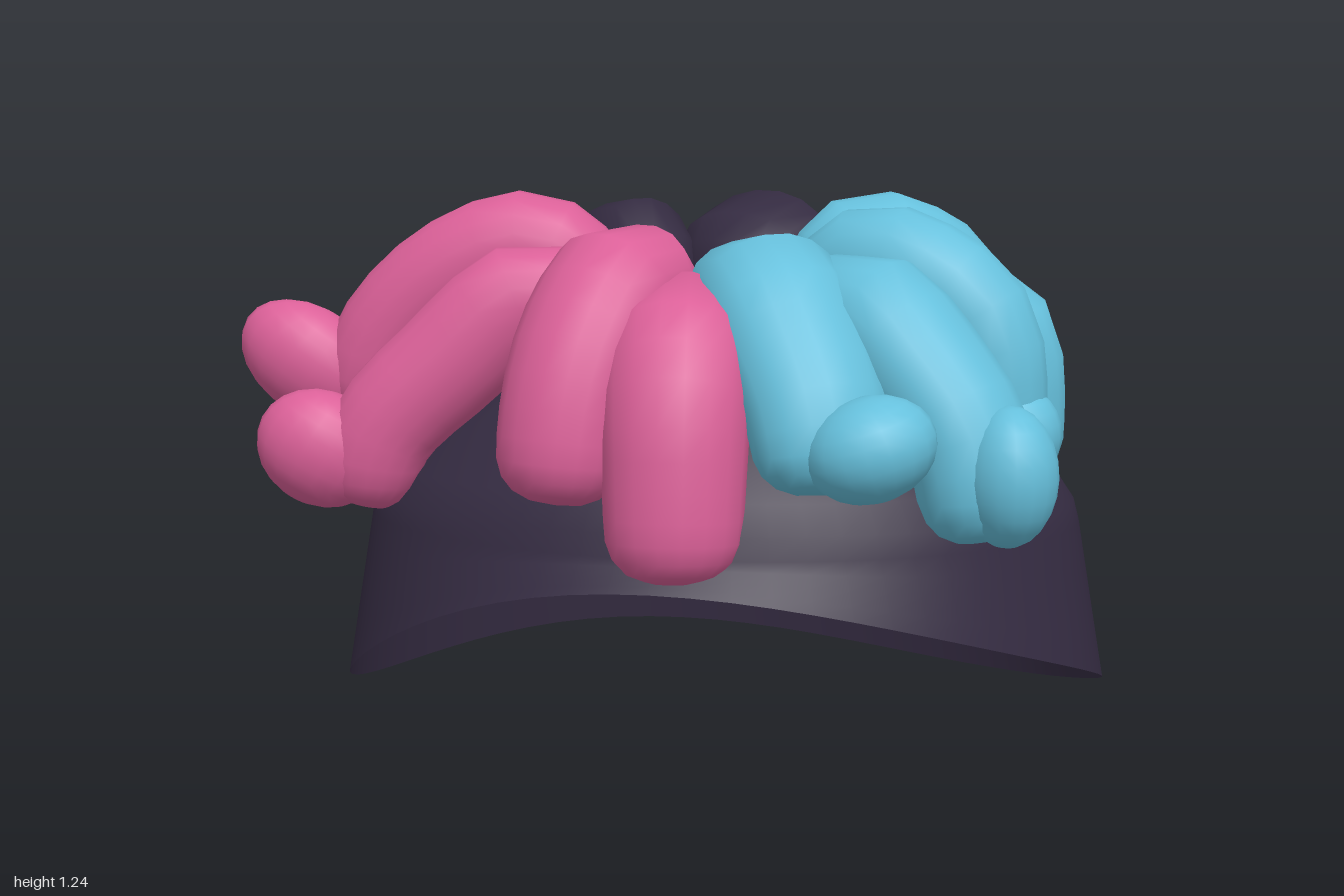
import * as THREE from 'three';

const material = (name, color) => {
  const m = new THREE.MeshStandardMaterial({ color, side: THREE.DoubleSide });
  m.name = name;
  return m;
};

// Surface from closed rings: point(row, angle)
function ringSurface(rows, cols, point) {
  const pos = [], idx = [];
  for (let i = 0; i <= rows; i++)
    for (let j = 0; j < cols; j++) pos.push(...point(i, (j / cols) * Math.PI * 2).toArray());
  for (let i = 0; i < rows; i++)
    for (let j = 0; j < cols; j++) {
      const k = (j + 1) % cols;
      const a = i * cols + j, b = i * cols + k, c = a + cols, d = b + cols;
      idx.push(a, c, b, b, c, d);
    }
  const g = new THREE.BufferGeometry();
  g.setAttribute('position', new THREE.Float32BufferAttribute(pos, 3));
  g.setIndex(idx);
  g.computeVertexNormals();
  return g;
}

// Oval cap: slanted wavy rim, straight wall, then dome
function capGeometry() {
  const dome = [[0.925, 0.5], [0.91, 0.55], [0.86, 0.615], [0.72, 0.73], [0.55, 0.84], [0.36, 0.95], [0.18, 1.01], [0, 1.03]];
  const wall = 4;
  return ringSurface(wall + dome.length - 1, 64, (i, a) => {
    const rim = 0.173 + 0.21 * Math.sin(a) + 0.005 * Math.cos(a) - 0.0775 * Math.cos(2 * a)
      + 0.008 * Math.sin(2 * a) + 0.025 * Math.cos(3 * a);
    const f = Math.min(i / wall, 1);
    const [s, y] = dome[Math.max(i - wall, 0)];
    const scale = 1 + (s - 1) * f;
    const lift = 0.03 * Math.sin(a) * s;
    return new THREE.Vector3(
      0.115 + 0.885 * scale * Math.cos(a),
      rim + (y + lift - rim) * f,
      -0.01 + 0.67 * scale * Math.sin(a));
  });
}

// Flattened tube that arches from the crown outward and down
function lockGeometry([x0, z0, x1, z1, top, bottom, width, thick, slant, drop]) {
  const dir = new THREE.Vector3(x1 - x0, 0, z1 - z0);
  const len = dir.length();
  dir.normalize();
  const side = new THREE.Vector3(-dir.z, 0, dir.x);
  const at = (d, y) => new THREE.Vector3(x0, y, z0).addScaledVector(dir, d);
  const path = new THREE.CatmullRomCurve3([
    at(0.03, top - thick - 0.14),
    at(len * 0.33, top - thick),
    at(len * 0.6, top - thick - 0.05 - slant),
    at(len - thick - 0.015, (top + bottom) / 2 + 0.04 - drop),
    at(len - thick * 0.82, bottom - 0.01),
  ]);
  const rows = 18;
  const round = (v, n) => Math.max(0, 1 - v ** n) ** (1 / n);
  return ringSurface(rows, 18, (i, a) => {
    const t = (1 - Math.cos((Math.PI * i) / rows)) / 2;
    const taper = 1 - 0.12 * Math.max(0, (t - 0.5) / 0.5);
    const size = t < 0.35 ? round(1 - t / 0.35, 2) : t > 0.84 ? taper * round((t - 0.84) / 0.16, 2.6) : taper;
    const normal = side.clone().cross(path.getTangentAt(t)).normalize();
    return path.getPointAt(t)
      .addScaledVector(side, Math.cos(a) * width * size)
      .addScaledVector(normal, Math.sin(a) * thick * size);
  });
}

export function createModel() {
  const dark = material('dark plum', 0x342b41);
  const pink = material('pink', 0xdb6098);
  const blue = material('sky blue', 0x66c0dc);
  const model = new THREE.Group();
  model.name = 'hairCap';
  const add = (name, geometry, mat) => {
    const mesh = new THREE.Mesh(geometry, mat);
    mesh.name = name;
    model.add(mesh);
    return mesh;
  };

  add('cap', capGeometry(), dark);

  // Locks: inner x, z, outer x, z, top, bottom, half width, half thickness, slant, drop
  const locks = {
    pinkLock: [pink, [
      [-0.06, 0.03, -0.82, 0.05, 1.24, 0.71, 0.125, 0.13, 0.02, 0.14],
      [-0.04, 0.17, -0.77, 0.29, 1.15, 0.56, 0.115, 0.13, 0.1, 0.18],
      [0.02, 0.14, -0.24, 0.63, 1.21, 0.63, 0.155, 0.14, 0.07, 0.14],
      [0.05, 0.22, 0.08, 0.71, 1.11, 0.48, 0.16, 0.14, 0.06, 0.1],
    ]],
    blueLock: [blue, [
      [0.13, 0.12, 0.45, 0.64, 1.19, 0.67, 0.17, 0.14, 0.08, 0.16],
      [0.26, 0.17, 0.81, 0.52, 1.15, 0.56, 0.155, 0.14, 0.08, 0.14],
      [0.26, 0.08, 0.84, 0.25, 1.23, 0.65, 0.125, 0.14, 0, 0.02],
      [0.3, 0.0, 0.89, 0.0, 1.16, 0.60, 0.12, 0.14, 0, 0],
      [0.25, -0.10, 0.78, -0.33, 1.23, 0.66, 0.15, 0.15, 0, 0.02],
      [0.24, -0.16, 0.58, -0.55, 1.12, 0.58, 0.13, 0.13, 0.03, 0.03],
      [-0.04, -0.18, 0.0, -0.68, 1.08, 0.57, 0.145, 0.13, 0.03, 0.04],
    ]],
    darkLock: [dark, [
      [0.09, -0.12, 0.33, -0.63, 1.22, 0.72, 0.19, 0.14, 0.06, 0.14],
      [-0.01, -0.09, -0.33, -0.57, 1.21, 0.57, 0.14, 0.14, 0.03, 0.03],
      [-0.04, -0.08, -0.60, -0.37, 1.15, 0.50, 0.12, 0.13, 0.03, 0.03],
    ]],
  };
  for (const [name, [mat, list]] of Object.entries(locks))
    for (const spec of list) add(name, lockGeometry(spec), mat);

  // Curled tips: material, centre, half sizes, turn about y, tilt
  const tips = [
    [pink, [-0.84, 0.84, 0.06], [0.18, 0.125, 0.1], 0, -0.6],
    [pink, [-0.76, 0.68, 0.28], [0.15, 0.13, 0.105], 0.1, -0.5],
    [blue, [0.48, 0.77, 0.60], [0.14, 0.11, 0.12], 0.2, 0.3],
    [blue, [0.76, 0.70, 0.50], [0.105, 0.15, 0.12], 0.3, 0],
    [blue, [0.78, 0.74, 0.24], [0.1, 0.11, 0.105], 0, 0],
    [blue, [0.70, 0.75, -0.31], [0.11, 0.11, 0.12], 0.4, 0],
    [dark, [0.36, 0.78, -0.62], [0.13, 0.11, 0.11], -0.4, 0],
  ];
  for (const [mat, centre, size, turn, tilt] of tips) {
    const tip = add('curledTip', new THREE.SphereGeometry(1, 18, 12), mat);
    tip.position.set(...centre);
    tip.scale.set(...size);
    tip.rotation.set(0, turn, tilt);
  }
  return model;
}
